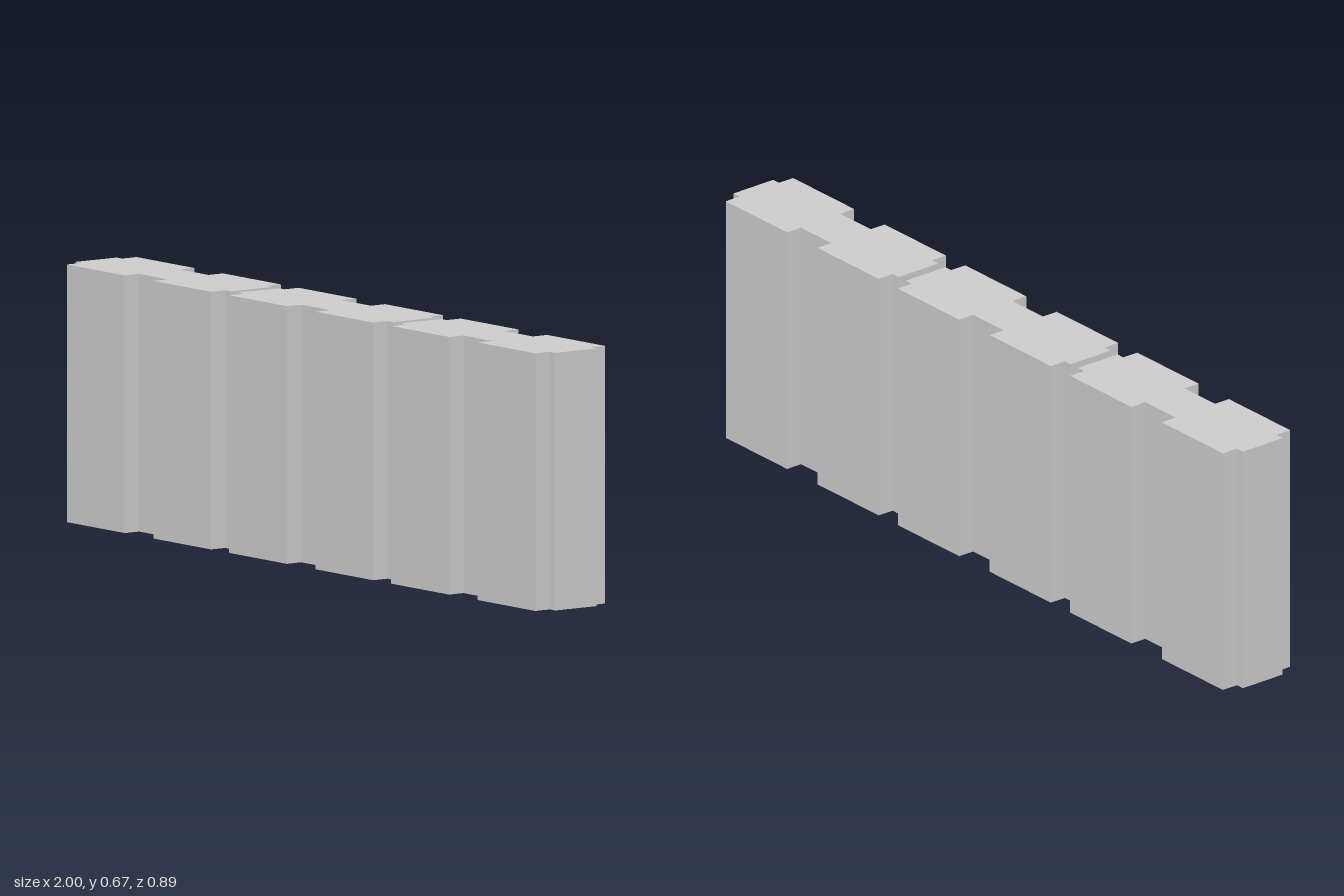
import * as THREE from 'three';

const HEIGHT = 0.673;
const PITCH = 0.701;             // distance between block centres
const ANGLE = -19.6 * Math.PI / 180;

// Half of the plan outline: a core slab with two raised pads on each face
const CORE = 0.0665, PAD = 0.113;
const EDGE = [
  [-0.336, CORE], [-0.312, CORE], [-0.312, PAD], [-0.063, PAD], [-0.063, CORE],
  [0.061, CORE], [0.061, PAD], [0.311, PAD], [0.311, CORE], [0.336, CORE],
];

function blockGeometry() {
  // the other face is the same edge turned half a turn
  const outline = [...EDGE, ...EDGE.map(([x, y]) => [-x, -y])];
  const shape = new THREE.Shape(outline.map(([x, y]) => new THREE.Vector2(x, y)));
  const geometry = new THREE.ExtrudeGeometry(shape, { depth: HEIGHT, bevelEnabled: false });
  return geometry.rotateX(-Math.PI / 2);
}

export function createModel() {
  const model = new THREE.Group();
  model.name = 'blockRow';
  const material = new THREE.MeshStandardMaterial({ color: 0xcccccc, flatShading: true });
  const geometry = blockGeometry();

  // Three equal blocks in a diagonal row, with narrow gaps between them
  const row = new THREE.Group();
  row.name = 'row';
  ['rightBlock', 'middleBlock', 'leftBlock'].forEach((name, i) => {
    const block = new THREE.Mesh(geometry, material);
    block.name = name;
    block.position.x = (i - 1) * PITCH;
    row.add(block);
  });
  row.rotation.y = ANGLE;
  model.add(row);
  return model;
}
